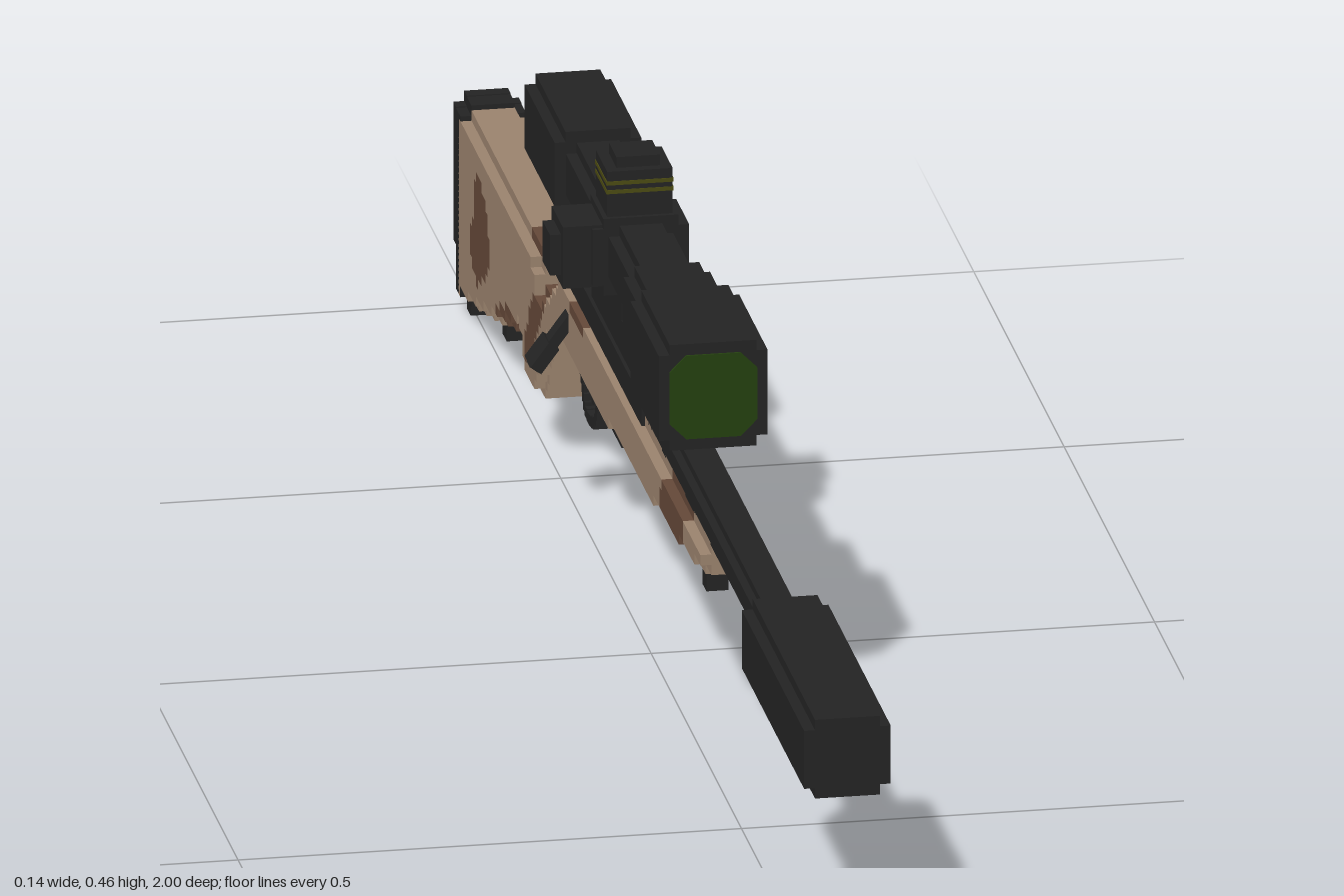
import * as THREE from 'three';
import { mergeGeometries } from 'three/addons/utils/BufferGeometryUtils.js';

const P = 0.0108;   // block size
const CX = 0.0155;  // centre line of the body

function material(name, color) {
  const m = new THREE.MeshStandardMaterial({ color });
  m.name = name;
  return m;
}

function box(x0, x1, y0, y1, z0, z1) {
  const g = new THREE.BoxGeometry(x1 - x0, y1 - y0, z1 - z0);
  return g.translate((x0 + x1) / 2, (y0 + y1) / 2, (z0 + z1) / 2);
}

// Bar along z whose four corners are stepped in by n
function bar(w, h, y, z0, z1, n = P) {
  const a = w / 2, b = h / 2;
  const quarter = [[a, b - n], [a - n, b - n], [a - n, b]];
  const flip = (sx, sy) => quarter.map(([x, y]) => [x * sx, y * sy]);
  const pts = [...quarter, ...flip(-1, 1).reverse(), ...flip(-1, -1), ...flip(1, -1).reverse()];
  const shape = new THREE.Shape(pts.map(([x, y]) => new THREE.Vector2(x, y)));
  return new THREE.ExtrudeGeometry(shape, { depth: z1 - z0, bevelEnabled: false }).translate(CX, y, z0);
}

// Height on a polyline of [z, y] points, z falling
function heightAt(line, z) {
  for (let i = 1; i < line.length; i++) {
    const [za, ya] = line[i - 1], [zb, yb] = line[i];
    if (z >= zb) return ya + (yb - ya) * THREE.MathUtils.clamp((za - z) / (za - zb), 0, 1);
  }
  return line[line.length - 1][1];
}

const stockTop = [[0.37, 0.25], [-0.41, 0.25], [-0.45, 0.222], [-0.5, 0.19], [-0.54, 0.18],
  [-0.56, 0.205], [-0.58, 0.22], [-0.97, 0.22]];
const stockBottom = [[0.37, 0.218], [0.3, 0.204], [0.1, 0.188], [-0.15, 0.178], [-0.44, 0.167],
  [-0.5, 0.14], [-0.535, 0.09], [-0.56, 0.064], [-0.6, 0.064], [-0.625, 0.1], [-0.64, 0.105],
  [-0.8, 0.055], [-0.97, 0.015]];

// Camouflage patches: z, y, half length, half height, slant
const patches = [
  [0.205, 0.22, 0.065, 0.06, 0.3], [-0.04, 0.255, 0.05, 0.022, 0], [-0.32, 0.248, 0.055, 0.02, 0],
  [-0.52, 0.185, 0.06, 0.026, 0.9], [-0.56, 0.14, 0.05, 0.024, 0.9], [-0.845, 0.135, 0.045, 0.045, -0.3],
  [-0.87, 0.105, 0.035, 0.035, 0], [-0.6, 0.225, 0.045, 0.017, 0], [-0.92, 0.225, 0.04, 0.014, 0],
  [-0.71, 0.085, 0.06, 0.018, 0.25],
];
const isPatch = (z, y) => patches.some(([pz, py, a, b, s]) => {
  const dz = z - pz, dy = y - py - s * dz;
  return (dz / a) ** 2 + (dy / b) ** 2 < 1;
});

// Stock in thin slices, each split into runs of one colour
function stockGeometries() {
  const parts = [[], []];
  for (let z = 0.367; z > -0.965; z -= P) {
    const zc = z - P / 2;
    const y0 = Math.round(heightAt(stockBottom, zc) / P);
    const y1 = Math.round(heightAt(stockTop, zc) / P);
    const z0 = Math.max(z - P, -0.97);
    for (const [half, inset] of [[0.0215, 0], [0.0325, 1]]) {
      let start = y0 + inset;
      for (let y = start; y < y1 - inset; y++) {
        const c = isPatch(zc, (y + 0.5) * P);
        if (y + 1 === y1 - inset || isPatch(zc, (y + 1.5) * P) !== c) {
          parts[c ? 1 : 0].push(box(CX - half, CX + half, start * P, (y + 1) * P, z0, z));
          start = y + 1;
        }
      }
    }
  }
  return parts.map((p) => mergeGeometries(p));
}

export function createModel() {
  const model = new THREE.Group();
  model.name = 'rifle';
  const black = material('black metal', 0x232323);
  const tan = material('tan camouflage', 0x9a826d);
  const brown = material('brown camouflage', 0x644838);
  const green = material('green glass', 0x24400f);
  const olive = material('olive marking', 0x4b4a12);
  const add = (name, mat, ...geometries) => {
    for (const g of geometries) {
      const mesh = new THREE.Mesh(g, mat);
      mesh.name = name;
      model.add(mesh);
    }
  };

  // Stock
  const [plain, patched] = stockGeometries();
  add('stock', tan, plain);
  add('stockPatches', brown, patched);
  add('buttPad', black, bar(0.065, 0.21, 0.116, -0.985, -0.96), bar(0.065, 0.165, 0.1395, -1, -0.985),
    box(CX - 0.0215, CX + 0.0215, 0, 0.03, -0.985, -0.965));

  // Barrel, suppressor and receiver
  add('barrel', black, bar(0.043, 0.036, 0.256, 0, 0.66, 0.008));
  add('suppressor', black, bar(0.086, 0.082, 0.256, 0.655, 1));
  add('receiver', black, bar(0.05, 0.046, 0.25, -0.41, 0.0, 0.008),
    box(CX - 0.011, CX + 0.011, 0.24, 0.262, -0.435, -0.41));
  add('magazinePlate', black, box(CX - 0.0215, CX + 0.0215, 0.167, 0.18, -0.31, -0.13));

  // Bolt handle slants down on the right
  const handle = new THREE.BoxGeometry(0.011, 0.075, 0.018).rotateZ(-0.64).translate(-0.029, 0.197, -0.37);
  add('boltHandle', black, handle,
    new THREE.BoxGeometry(0.013, 0.03, 0.034).rotateZ(-0.64).translate(-0.042, 0.181, -0.37));

  // Trigger guard and trigger
  const guardPath = new THREE.CatmullRomCurve3(
    [[0.17, -0.315], [0.15, -0.325], [0.12, -0.337], [0.109, -0.365], [0.112, -0.395], [0.14, -0.414], [0.155, -0.43]]
      .map(([y, z]) => new THREE.Vector3(CX, y, z)));
  const guard = [];
  for (let i = 0; i < 20; i++) {
    const p = guardPath.getPointAt(i / 19);
    guard.push(new THREE.BoxGeometry(0.0216, P, P).translate(p.x, p.y, p.z));
  }
  add('triggerGuard', black, mergeGeometries(guard));
  add('trigger', black, box(CX - 0.006, CX + 0.006, 0.142, 0.175, -0.375, -0.364),
    box(CX - 0.006, CX + 0.006, 0.122, 0.146, -0.383, -0.372));

  // Sling studs
  for (const [y, z] of [[0.167, 0.27], [0.024, -0.835]])
    add('slingStud', black, box(CX - 0.011, CX + 0.011, y, y + 0.04, z - 0.011, z + 0.011));

  // Scope mount
  add('scopeRail', black, box(CX - 0.0215, CX + 0.0215, 0.262, 0.3, -0.295, -0.07));
  for (const z of [-0.27, -0.1])
    add('scopeRing', black, box(CX - 0.0215, CX + 0.0215, 0.295, 0.34, z - 0.025, z + 0.025));
  add('scopeSaddle', black, box(CX - 0.0215, CX + 0.0215, 0.295, 0.328, -0.235, -0.13));

  // Scope tube
  const Y = 0.362;
  add('scopeObjective', black, bar(0.108, 0.11, Y, 0.1, 0.257));
  add('scopeNeck', black, bar(0.086, 0.086, Y, 0, 0.1));
  add('scopeTube', black, bar(0.064, 0.064, Y, -0.385, 0));
  add('scopeEyepiece', black, bar(0.086, 0.088, Y, -0.547, -0.38));

  // Lenses
  const lens = (r, z0, z1) => {
    const c = r * 0.62;
    const pts = [[r, -c], [r, c], [c, r], [-c, r], [-r, c], [-r, -c], [-c, -r], [c, -r]];
    const shape = new THREE.Shape(pts.map(([x, y]) => new THREE.Vector2(x, y)));
    return new THREE.ExtrudeGeometry(shape, { depth: z1 - z0, bevelEnabled: false }).translate(CX, Y, z0);
  };
  add('frontLens', green, lens(0.0435, 0.254, 0.259));
  add('rearLens', green, lens(0.033, -0.549, -0.544));

  // Adjustment turrets
  add('topTurret', black, box(CX - 0.0325, CX + 0.0325, 0.38, 0.449, -0.21, -0.148),
    box(CX - 0.0215, CX + 0.0215, 0.449, 0.46, -0.2, -0.158));
  for (const y of [0.428, 0.437])
    add('turretMarking', olive, box(CX - 0.0333, CX + 0.0333, y - 0.002, y + 0.002, -0.2108, -0.1472));
  add('turretBody', black, bar(0.096, 0.08, Y, -0.215, -0.143));
  add('sideTurret', black, box(-0.061, -0.02, 0.33, 0.394, -0.21, -0.148),
    box(-0.072, -0.06, 0.341, 0.383, -0.2, -0.158));
  return model;
}
